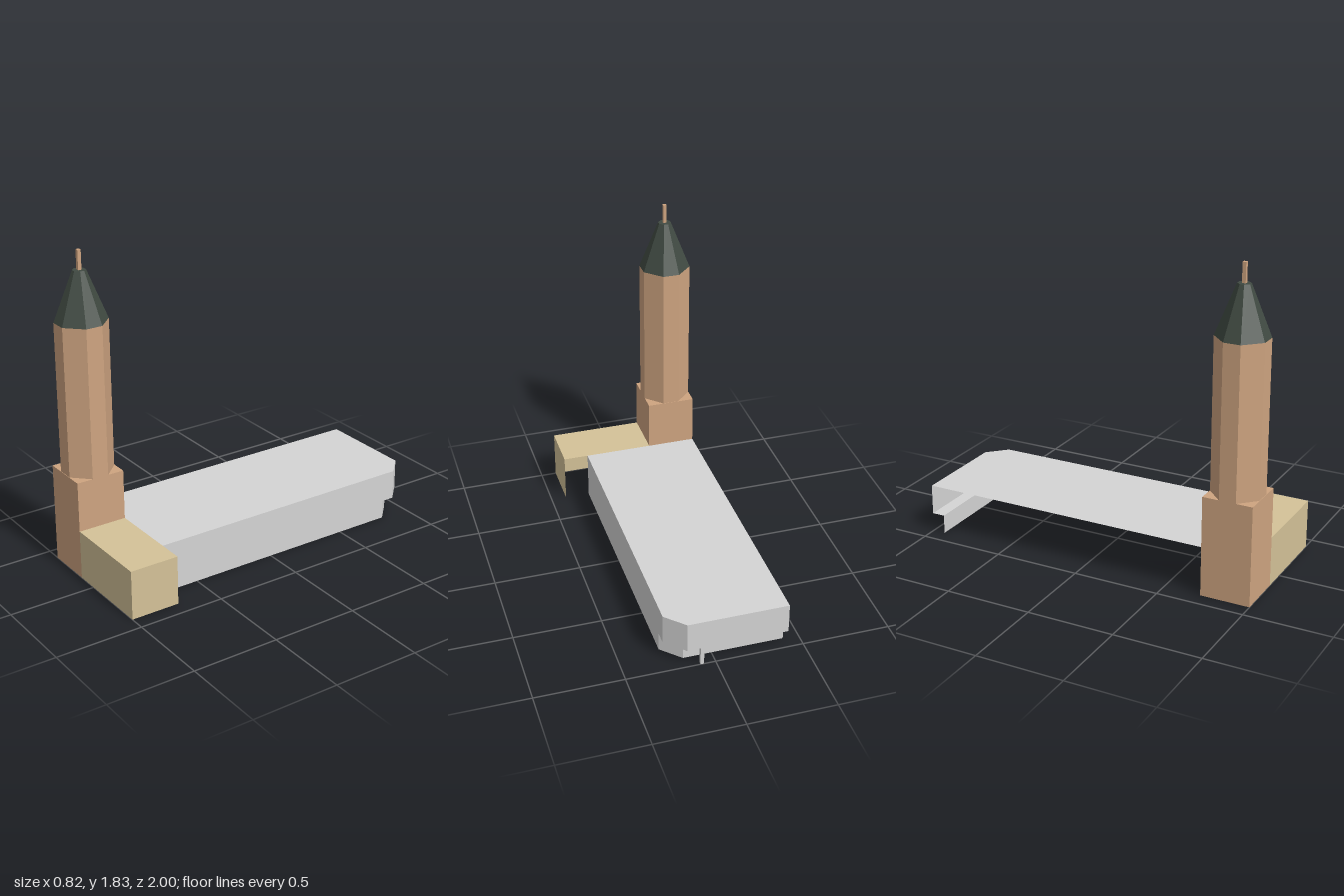
import * as THREE from 'three';

const material = (name, color) => new THREE.MeshStandardMaterial({ name, color, side: THREE.DoubleSide });

// Upright faces along a plan path of [x, z] points; the top can be scaled about a centre to taper it.
function wallGeometry(path, y0, y1, taper = 1, [cx, cz] = [0, 0]) {
  const pos = [];
  for (let i = 0; i < path.length - 1; i++) {
    const low = (p) => [p[0], y0, p[1]];
    const high = (p) => [cx + (p[0] - cx) * taper, y1, cz + (p[1] - cz) * taper];
    const [a, b] = [path[i], path[i + 1]];
    pos.push(...low(a), ...low(b), ...high(b), ...low(a), ...high(b), ...high(a));
  }
  const g = new THREE.BufferGeometry();
  g.setAttribute('position', new THREE.Float32BufferAttribute(pos, 3));
  g.computeVertexNormals();
  return g;
}

// Level face over a plan outline, facing up or down.
function levelGeometry(outline, y, down = false) {
  const shape = new THREE.Shape(outline.map(([x, z]) => new THREE.Vector2(x, down ? z : -z)));
  const g = new THREE.ShapeGeometry(shape);
  g.rotateX(down ? Math.PI / 2 : -Math.PI / 2);
  return g.translate(0, y, 0);
}

export function createModel() {
  const model = new THREE.Group();
  model.name = 'towerAndHall';
  const brick = material('brick', 0xcea480);
  const sand = material('sandstone', 0xd4c298);
  const grey = material('paleGrey', 0xd4d4d4);
  const slate = material('darkSlate', 0x404a42);

  const add = (parent, name, geometry, mat) => {
    const mesh = new THREE.Mesh(geometry, mat);
    mesh.name = name;
    parent.add(mesh);
    return mesh;
  };
  const group = (name) => {
    const g = new THREE.Group();
    g.name = name;
    model.add(g);
    return g;
  };

  const L = -0.41, T = -0.13, H = 0.265, R = 0.41; // x: outer side, tower edge, hall edge, annex end
  const F = 1, M = 0.715; // z: front, back of the front block
  const low = 0.285, baseTop = 0.575, shaftTop = 1.435, roofTop = 1.715;

  // Tower base, open below and towards the annex
  const tower = group('tower');
  add(tower, 'baseWalls', wallGeometry([[T, M], [L, M], [L, F], [T, F]], 0, baseTop), brick);
  add(tower, 'baseInnerWall', wallGeometry([[T, F], [T, M]], low, baseTop), brick);
  add(tower, 'baseTop', levelGeometry([[L, F], [T, F], [T, M], [L, M]], baseTop), brick);

  // Eight-sided shaft, tapered roof and mast
  const cx = -0.27, cz = 0.8575, r = 0.14, f = 0.048;
  const ring = [[-f, r], [f, r], [r, f], [r, -f], [f, -r], [-f, -r], [-r, -f], [-r, f]]
    .map(([x, z]) => [cx + x, cz + z]);
  const loop = [...ring, ring[0]];
  const taper = 0.25;
  add(tower, 'shaft', wallGeometry(loop, baseTop, shaftTop), brick);
  add(tower, 'spireRoof', wallGeometry(loop, shaftTop, roofTop, taper, [cx, cz]), slate);
  const cap = ring.map(([x, z]) => [cx + (x - cx) * taper, cz + (z - cz) * taper]);
  add(tower, 'spireCap', levelGeometry(cap, roofTop), slate);
  add(tower, 'mast', new THREE.BoxGeometry(0.02, 0.11, 0.02), brick).position.set(cx, roofTop + 0.055, cz);

  // Low front annex, open at the back and below
  const annex = group('annex');
  add(annex, 'annexWalls', wallGeometry([[T, F], [R, F], [R, M]], 0, low), sand);
  add(annex, 'annexRoof', levelGeometry([[T, F], [R, F], [R, M], [T, M]], low), sand);

  // Long hall with a cut corner and a recessed lower storey at the back
  const hall = group('hall');
  const step = 0.11, cut = 0.16;
  const upper = [[H, M], [H, -0.895], [cut, -1], [L, -1]];
  const lower = [[H, M], [H, -0.82], [cut, -0.925], [L, -0.925]];
  add(hall, 'upperWalls', wallGeometry(upper, step, low), grey);
  add(hall, 'lowerWalls', wallGeometry(lower, 0, step), grey);
  add(hall, 'hallRoof', levelGeometry([...upper, [L, M]], low), grey);
  add(hall, 'soffit', levelGeometry([...upper.slice(1), ...lower.slice(1).reverse()], step, true), grey);
  add(hall, 'post', new THREE.BoxGeometry(0.02, step, 0.02), grey).position.set(0.075, step / 2, -0.99);

  return model;
}
